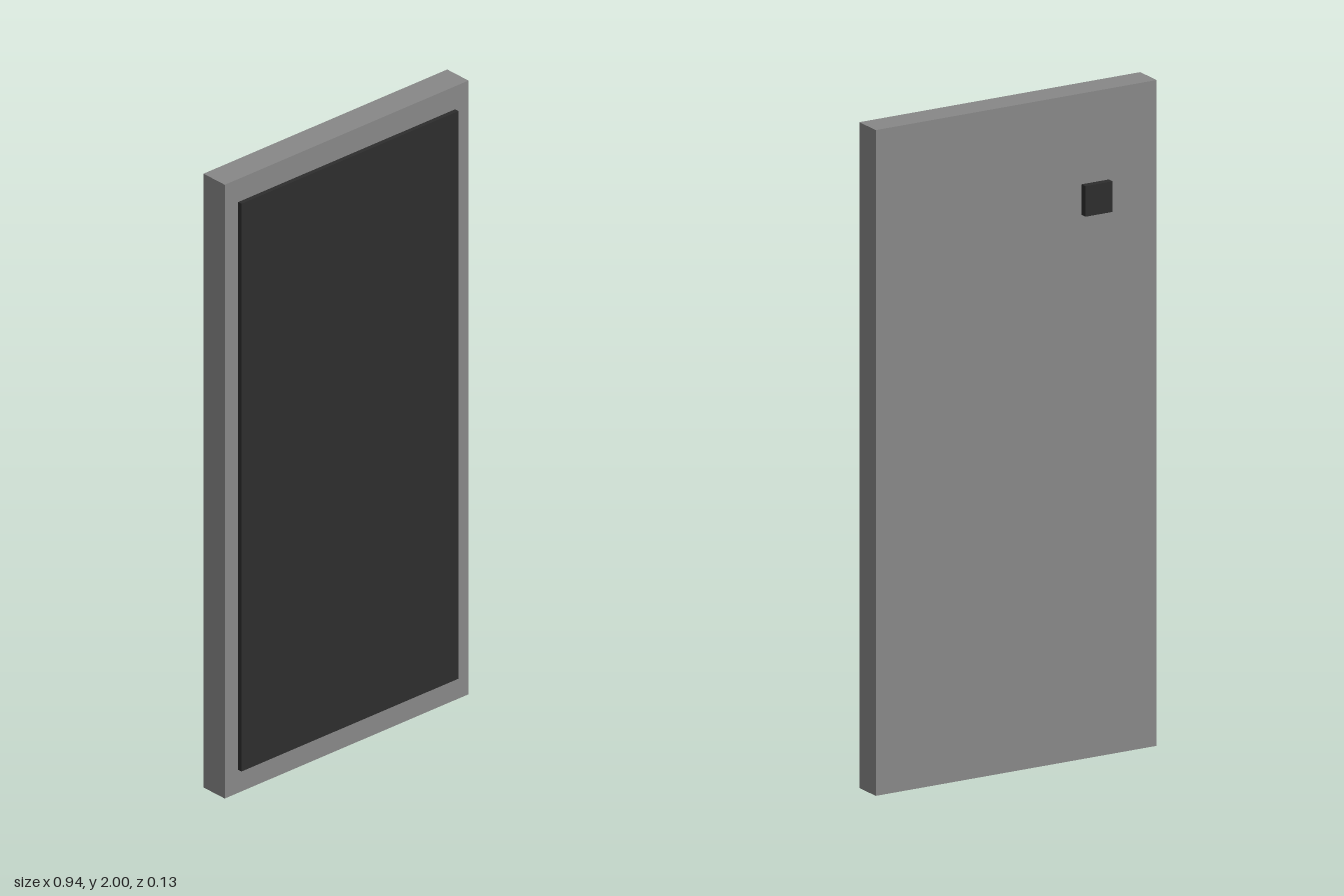
import * as THREE from 'three';

export function createModel() {
  const model = new THREE.Group();
  const bodyMaterial = new THREE.MeshStandardMaterial({ color: 0x888888 });
  const darkMaterial = new THREE.MeshStandardMaterial({ color: 0x2d2d2d });

  // Adds a box spanning the given min and max corners
  function addBox(name, min, max, material) {
    const size = max.map((v, i) => v - min[i]);
    const mesh = new THREE.Mesh(new THREE.BoxGeometry(...size), material);
    mesh.position.set(...max.map((v, i) => (v + min[i]) / 2));
    mesh.name = name;
    model.add(mesh);
  }

  // Slab body
  addBox('body', [-0.472, 0, -0.042], [0.472, 2, 0.049], bodyMaterial);
  // Thin display raised on the front
  addBox('screen', [-0.42, 0.075, 0.049], [0.42, 1.925, 0.063], darkMaterial);
  // Lens block on the upper back
  addBox('rearCamera', [-0.311, 1.635, -0.063], [-0.22, 1.727, -0.042], darkMaterial);

  return model;
}
